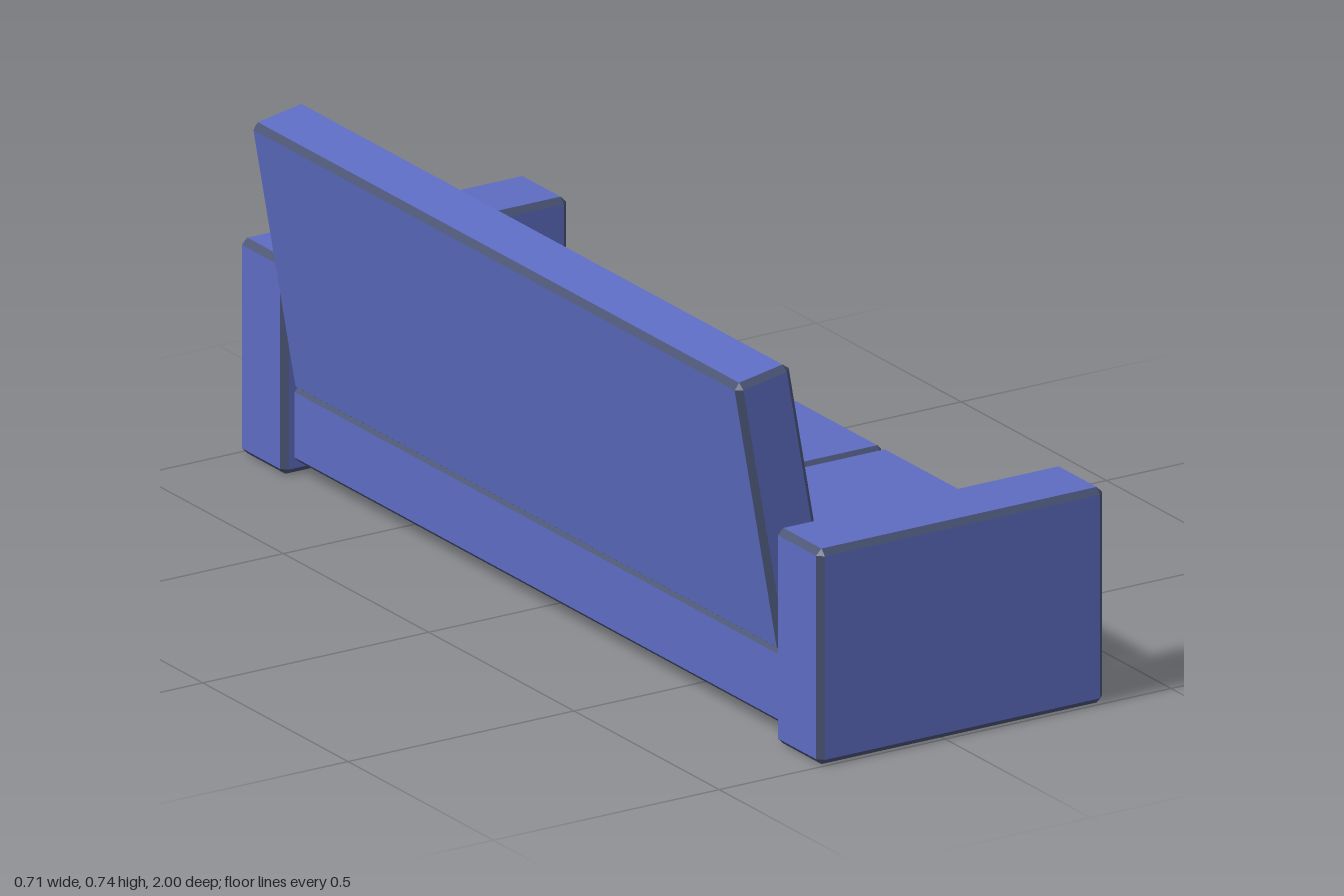
import * as THREE from 'three';

const blue = new THREE.MeshStandardMaterial({ color: 0x5c6bc0 });
blue.name = 'blue upholstery';
const slate = new THREE.MeshStandardMaterial({ color: 0x465070 });
slate.name = 'slate piping';

// Box with chamfered edges: group 0 holds the six sides, group 1 the chamfers
function chamferBox(w, h, d, c) {
  const half = [w / 2, h / 2, d / 2];
  const pos = [];
  const signs = [-1, 1];

  // Corner point lying on the side that faces the given axis
  const point = (s, axis) => new THREE.Vector3(
    ...s.map((v, i) => v * (half[i] - (i === axis ? 0 : c))));

  // Convex polygon as a fan, turned to face outward
  const polygon = (pts) => {
    const n = pts[1].clone().sub(pts[0]).cross(pts[2].clone().sub(pts[0]));
    if (n.dot(pts[0]) < 0) pts.reverse();
    for (let i = 1; i < pts.length - 1; i++) {
      for (const p of [pts[0], pts[i], pts[i + 1]]) pos.push(p.x, p.y, p.z);
    }
  };
  const corner = (a, sa, b, sb, e, se) => {
    const s = [0, 0, 0];
    s[a] = sa; s[b] = sb; s[e] = se;
    return s;
  };

  for (let a = 0; a < 3; a++) {
    const b = (a + 1) % 3, e = (a + 2) % 3;
    for (const s of signs) {
      polygon([[-1, -1], [1, -1], [1, 1], [-1, 1]]
        .map(([u, v]) => point(corner(a, s, b, u, e, v), a)));
    }
  }
  const sideCount = pos.length / 3;

  for (let a = 0; a < 3; a++) {
    const b = (a + 1) % 3, e = (a + 2) % 3;
    for (const u of signs) for (const v of signs) {
      const lo = corner(a, -1, b, u, e, v), hi = corner(a, 1, b, u, e, v);
      polygon([point(lo, b), point(hi, b), point(hi, e), point(lo, e)]);
    }
  }
  for (const x of signs) for (const y of signs) for (const z of signs) {
    polygon([0, 1, 2].map((axis) => point([x, y, z], axis)));
  }

  const geo = new THREE.BufferGeometry();
  geo.setAttribute('position', new THREE.Float32BufferAttribute(pos, 3));
  geo.computeVertexNormals();
  geo.addGroup(0, sideCount, 0);
  geo.addGroup(sideCount, pos.length / 3 - sideCount, 1);
  return geo;
}

export function createModel() {
  const sofa = new THREE.Group();
  sofa.name = 'sofa';

  const add = (name, size, at, chamfer = 0.012) => {
    const mesh = new THREE.Mesh(chamferBox(...size, chamfer), [blue, slate]);
    mesh.name = name;
    mesh.position.set(...at);
    sofa.add(mesh);
    return mesh;
  };

  // Base between the arms
  add('base', [0.59, 0.15, 1.69], [0.035, 0.103, 0], 0.01);

  // Arms at both ends
  for (const side of [-1, 1]) {
    add(side > 0 ? 'armFrontEnd' : 'armBackEnd', [0.633, 0.428, 0.155], [0.0385, 0.214, side * 0.9225]);
  }

  // Three seat cushions
  for (let i = -1; i <= 1; i++) {
    add('seatCushion', [0.53, 0.112, 0.55], [0.064, 0.234, i * 0.56], 0.008);
  }

  // Leaning backrest
  const back = add('backrest', [0.1215, 0.56, 1.68], [-0.249, 0.456, 0]);
  back.rotation.z = THREE.MathUtils.degToRad(10);

  return sofa;
}
